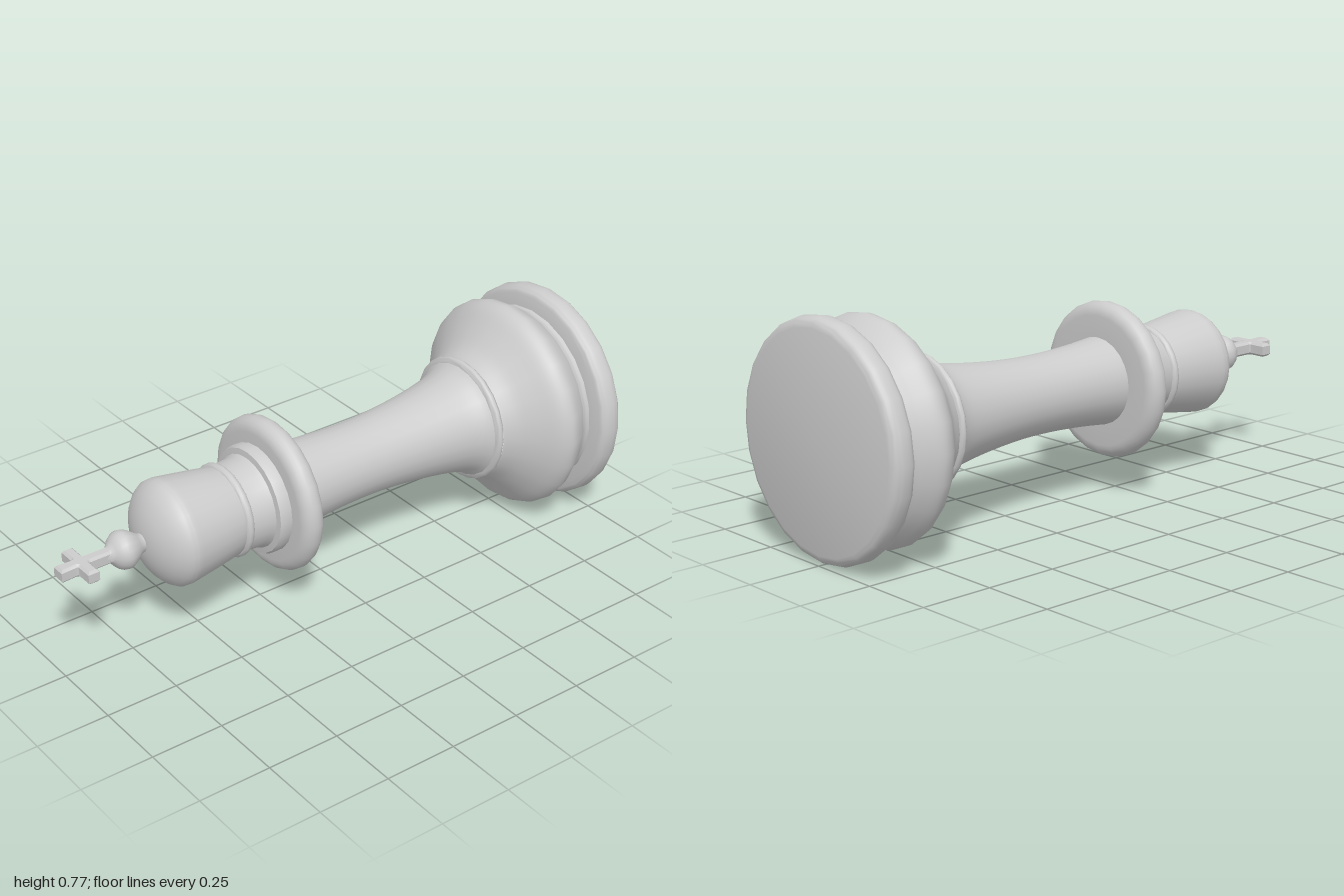
import * as THREE from 'three';
import { toCreasedNormals } from 'three/addons/utils/BufferGeometryUtils.js';

const AXIS_Y = 0.384;
const SIDES = 24;
const material = new THREE.MeshStandardMaterial({ color: 0xcccccc, side: THREE.DoubleSide });

const v = ([r, h]) => new THREE.Vector2(r, h);

// Smooth curve through [radius, height] pairs
const curve = (pts, n) => new THREE.SplineCurve(pts.map(v)).getPoints(n);

// Half-round moulding from height h0 to h1, bulging from radius r0 to r1
function bead(r0, r1, h0, h1, n = 8) {
  return Array.from({ length: n + 1 }, (_, i) => {
    const a = -Math.PI / 2 + (Math.PI * i) / n;
    return v([r0 + (r1 - r0) * Math.cos(a), (h0 + h1) / 2 + ((h1 - h0) / 2) * Math.sin(a)]);
  });
}

// Turned part along the piece's own axis
function turned(name, profile, sides = SIDES) {
  const geometry = toCreasedNormals(new THREE.LatheGeometry(profile, sides), 0.7);
  const mesh = new THREE.Mesh(geometry, material);
  mesh.name = name;
  return mesh;
}

// Cross with softly filleted inner corners, drawn in its flat plane
function makeCross() {
  const arm = 0.072, top = 0.073, bottom = -0.095, w = 0.012, f = 0.026;
  const s = new THREE.Shape();
  s.moveTo(w, bottom);
  s.lineTo(w, -f);
  s.quadraticCurveTo(w, -w, f, -w);
  s.lineTo(arm, -w);
  s.lineTo(arm, w);
  s.lineTo(f, w);
  s.quadraticCurveTo(w, w, w, f);
  s.lineTo(w + 0.003, top);
  s.lineTo(-w - 0.003, top);
  s.lineTo(-w, f);
  s.quadraticCurveTo(-w, w, -f, w);
  s.lineTo(-arm, w);
  s.lineTo(-arm, -w);
  s.lineTo(-f, -w);
  s.quadraticCurveTo(-w, -w, -w, -f);
  s.lineTo(-w, bottom);
  s.closePath();
  const geometry = new THREE.ExtrudeGeometry(s, {
    depth: 0.03, curveSegments: 4,
    bevelEnabled: true, bevelSize: 0.008, bevelThickness: 0.008, bevelSegments: 1,
  });
  geometry.translate(0, 0, -0.015);
  const mesh = new THREE.Mesh(toCreasedNormals(geometry, 0.5), material);
  mesh.position.y = 0.919;
  mesh.name = 'cross';
  return mesh;
}

export function createModel() {
  const piece = new THREE.Group();
  piece.name = 'chessKing';

  // Foot: flat underside and rounded rim
  piece.add(turned('footRim', [
    v([0, -1]), v([0.352, -1]),
    ...curve([[0.352, -1], [0.372, -0.992], [0.383, -0.972], [0.383, -0.942], [0.373, -0.921], [0.352, -0.913]], 15),
    v([0.318, -0.908]),
  ]));

  // Bell-shaped base above the rim
  piece.add(turned('baseBell', curve([
    [0.318, -0.908], [0.318, -0.885], [0.34, -0.855], [0.364, -0.815], [0.368, -0.785],
    [0.348, -0.75], [0.295, -0.705], [0.245, -0.66], [0.212, -0.615],
  ], 28)));

  piece.add(turned('baseBead', bead(0.2, 0.221, -0.615, -0.585)));

  // Waisted shaft
  piece.add(turned('shaft', curve([
    [0.206, -0.59], [0.185, -0.56], [0.166, -0.5], [0.146, -0.37], [0.133, -0.22],
    [0.131, -0.08], [0.138, 0.06], [0.15, 0.18],
  ], 24)));

  // Wide collar with its stepped neck
  piece.add(turned('collar', [v([0.14, 0.165]), ...bead(0.222, 0.266, 0.165, 0.248, 10), v([0.14, 0.25])]));
  piece.add(turned('collarStep', [
    v([0.185, 0.24]), v([0.186, 0.278]), v([0.18, 0.29]),
    v([0.16, 0.293]), v([0.153, 0.31]), v([0.149, 0.372]),
  ]));
  piece.add(turned('neckBead', bead(0.146, 0.16, 0.37, 0.4)));

  // Domed head
  piece.add(turned('head', [
    ...curve([[0.149, 0.395], [0.16, 0.46], [0.172, 0.54], [0.18, 0.595]], 8),
    ...curve([[0.18, 0.595], [0.177, 0.615], [0.163, 0.637], [0.135, 0.662], [0.09, 0.685], [0.04, 0.698], [0, 0.7]], 16).slice(1),
  ]));

  // Finial ball
  piece.add(turned('finial', curve([
    [0.03, 0.69], [0.034, 0.71], [0.054, 0.738], [0.065, 0.767], [0.054, 0.795], [0.028, 0.818], [0.018, 0.84],
  ], 16), 16));

  piece.add(makeCross());

  // Lay the piece down: its top points to the front
  piece.rotation.x = Math.PI / 2;
  piece.position.y = AXIS_Y;

  const model = new THREE.Group();
  model.add(piece);
  return model;
}
